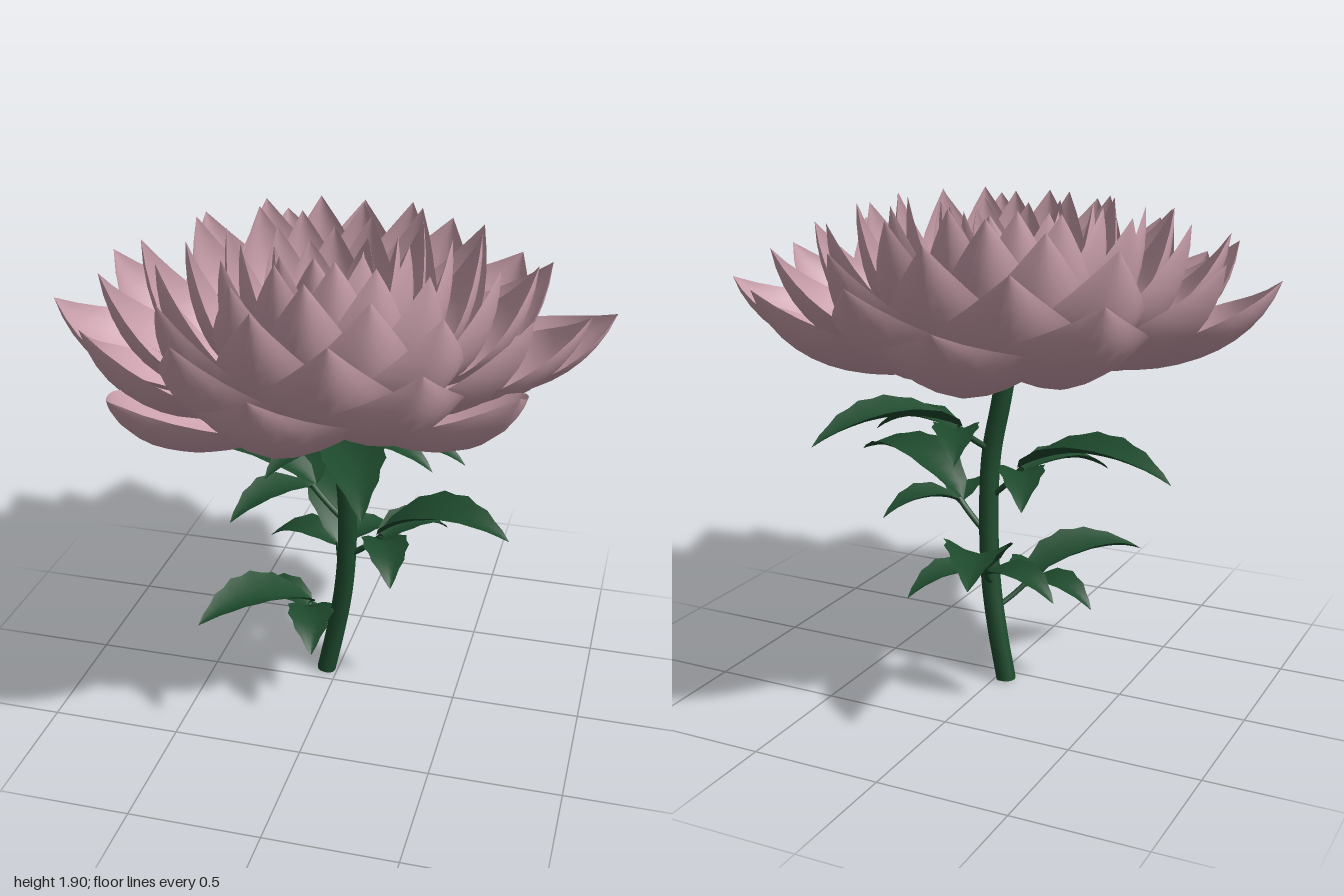
import * as THREE from 'three';

const V = (x, y, z) => new THREE.Vector3(x, y, z);
const lerp = THREE.MathUtils.lerp;
const rad = THREE.MathUtils.degToRad;

// Curved blade: a Bezier spine in the (outward, up) plane, turned to an angle,
// widened by a profile and cupped across.
function blade(origin, angle, pts, halfWidth, cup, profile, rows, cols) {
  const spine = new THREE.CubicBezierCurve(...pts.map(p => new THREE.Vector2(...p)));
  const c = Math.cos(angle), s = Math.sin(angle);
  const pos = [], index = [];
  for (let i = 0; i <= rows; i++) {
    const t = i / rows;
    const p = spine.getPoint(t), tan = spine.getTangent(t);
    const w = halfWidth * profile(t, i);
    for (let j = 0; j <= cols; j++) {
      const u = (j / cols) * 2 - 1;
      const lift = cup * w * Math.pow(Math.abs(u), 1.7);
      const r = p.x - tan.y * lift, y = p.y + tan.x * lift;
      pos.push(origin.x + c * r - s * w * u, origin.y + y, origin.z + s * r + c * w * u);
      if (i < rows && j < cols) {
        const a = i * (cols + 1) + j, b = a + cols + 1;
        index.push(a, a + 1, b, a + 1, b + 1, b);
      }
    }
  }
  const g = new THREE.BufferGeometry();
  g.setAttribute('position', new THREE.Float32BufferAttribute(pos, 3));
  g.setIndex(index);
  g.computeVertexNormals();
  return g;
}

// Width profiles along a blade
const petalProfile = t => t < 0.6
  ? 0.25 + 0.75 * Math.sin((Math.PI / 2) * (t / 0.6))
  : 1 - Math.pow((t - 0.6) / 0.4, 1.8);
const leafProfile = (t, i) => Math.sin(Math.PI * Math.pow(t, 0.75)) * (i % 2 ? 1.06 : 0.94) + 0.01;

export function createModel() {
  const model = new THREE.Group();
  const material = (name, color) => {
    const m = new THREE.MeshStandardMaterial({ color, side: THREE.DoubleSide });
    m.name = name;
    return m;
  };
  const pink = material('petalPink', 0xc99fab);
  const green = material('stemGreen', 0x1e4a2d);
  const pistilGreen = material('pistilGreen', 0x2f6b42);
  const gold = material('stamenGold', 0xb0922c);
  const add = (name, geometry, mat, parent = model) => {
    const mesh = new THREE.Mesh(geometry, mat);
    mesh.name = name;
    parent.add(mesh);
    return mesh;
  };
  const group = name => {
    const g = new THREE.Group();
    g.name = name;
    model.add(g);
    return g;
  };

  // Bent stem
  const stemCurve = new THREE.CatmullRomCurve3([
    V(-0.045, 0.005, -0.07), V(-0.005, 0.2, -0.065), V(0.03, 0.4, -0.05), V(0.052, 0.65, -0.025),
    V(0.05, 0.9, -0.005), V(0.015, 1.1, 0.005), V(-0.015, 1.27, 0.01)]);
  add('stem', new THREE.TubeGeometry(stemCurve, 40, 0.038, 12), green);
  const stemEnd = add('stemEnd', new THREE.CircleGeometry(0.038, 12), green);
  stemEnd.position.copy(stemCurve.getPoint(0));
  stemEnd.rotation.x = Math.PI / 2;

  // Cup under the bloom, with sepals
  const cupPoints = [[0, 1.21], [0.06, 1.215], [0.12, 1.245], [0.16, 1.285], [0.17, 1.32], [0.1, 1.34], [0, 1.345]];
  const cup = add('receptacle', new THREE.LatheGeometry(cupPoints.map(p => new THREE.Vector2(...p)), 24), green);
  cup.position.x = -0.02;
  const centre = V(-0.02, 0, 0);
  const sepals = group('sepals');
  for (let i = 0; i < 6; i++) {
    add('sepal', blade(centre, i * Math.PI / 3 + 0.3,
      [[0.08, 1.24], [0.18, 1.29], [0.26, 1.31], [0.35, 1.285]], 0.09, 0.1, petalProfile, 8, 4), green, sepals);
  }

  // Petals in a golden-angle spiral: wide outer ones, then upright ones with tips leaning slightly inward
  const petals = group('petals');
  const count = 64;
  const turns = [0, -4, 0, 4, -3, -3, 2, 1, -3, -2, 2, 1, -4, 0, 3, -1, -3];
  for (let i = 0; i < count; i++) {
    const k = i / (count - 1);
    const R = 1.065 - 0.0148 * i;
    const H = 1.885 - 0.3 * Math.pow(Math.max(0, (R - 0.35) / 0.7), 2.1)
      - 0.05 * Math.max(0, k - 0.8) / 0.2 + 0.012 * Math.sin(i * 2.3);
    const pts = [
      [lerp(0.1, 0.04, k), lerp(1.33, 1.36, k)],
      [lerp(0.45, 0.85, k) * R, lerp(1.18, 1.32, k)],
      [0.88 * R + 0.09 * Math.sin(Math.PI * 0.8 * k), lerp(1.28, 1.63, k)],
      [R, H]];
    const angle = rad(-17.4 + 137.5 * i + turns[i % turns.length]);
    add('petal', blade(centre, angle, pts, 0.085 + 0.195 * R, 0.45, petalProfile, 14, 8), pink, petals);
  }

  // Pistil and ring of stamens
  const heart = group('flowerCentre');
  const pistil = add('pistil', new THREE.SphereGeometry(0.03, 12, 8), pistilGreen, heart);
  pistil.position.set(-0.02, 1.5, 0);
  pistil.scale.y = 2;
  for (let i = 0; i < 24; i++) {
    const a = i * Math.PI / 12, r = i % 2 ? 0.115 : 0.09, h = i % 2 ? 1.54 : 1.58;
    const path = new THREE.QuadraticBezierCurve3(
      V(-0.02, 1.35, 0),
      V(-0.02 + 0.05 * Math.cos(a), 1.48, 0.05 * Math.sin(a)),
      V(-0.02 + r * Math.cos(a), h, r * Math.sin(a)));
    add('stamen', new THREE.TubeGeometry(path, 5, 0.004, 5), gold, heart);
    const anther = add('anther', new THREE.SphereGeometry(0.008, 6, 5), gold, heart);
    anther.position.copy(path.getPoint(1));
  }

  // Leaves of three leaflets: angle, stem height, stalk reach, stalk end height, length, arch, tip rise
  const leaves = [
    [132, 0.29, 0.14, 0.38, 0.5, 0.13, 0.07],
    [-110, 0.4, 0.2, 0.51, 0.53, 0.2, 0.13],
    [13, 0.58, 0.15, 0.7, 0.52, 0.18, 0.11],
    [187, 0.73, 0.15, 0.87, 0.63, 0.14, 0.04],
    [-57, 0.92, 0.15, 1.03, 0.6, 0.11, 0.01],
    [70, 1.04, 0.15, 1.16, 0.59, 0.08, -0.02]];
  for (const [deg, y0, reach, y1, length, arch, rise] of leaves) {
    const leaf = group('leaf');
    const a = rad(deg);
    const root = stemCurve.getPoints(100).reduce((p, q) => Math.abs(q.y - y0) < Math.abs(p.y - y0) ? q : p);
    const end = V(root.x + reach * Math.cos(a), y1, root.z + reach * Math.sin(a));
    const bend = root.clone().lerp(end, 0.6);
    bend.y -= 0.015;
    add('leafStalk', new THREE.TubeGeometry(new THREE.QuadraticBezierCurve3(root, bend, end), 6, 0.012, 6), green, leaf);
    add('endLeaflet', blade(end, a,
      [[-0.02, 0], [0.33 * length, arch], [0.7 * length, arch], [length, rise]],
      0.12, 0.4, leafProfile, 12, 4), green, leaf);
    for (const side of [-1, 1]) {
      const L = length * 0.6;
      add('sideLeaflet', blade(end, a + side * rad(58),
        [[-0.01, -0.02], [0.35 * L, 0.05], [0.7 * L, 0.03], [L, -0.05]],
        0.085, 0.35, leafProfile, 10, 4), green, leaf);
    }
  }
  return model;
}
